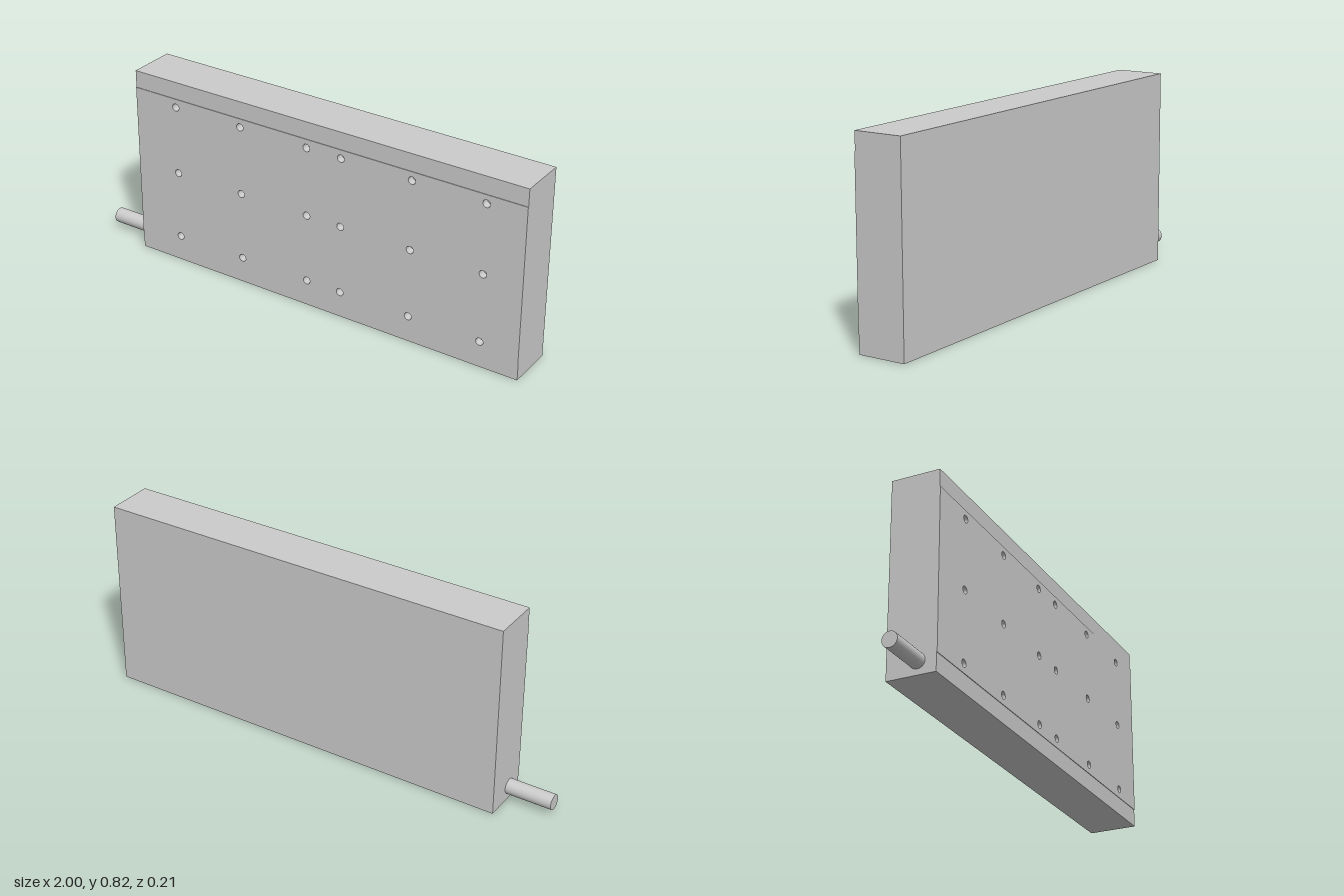
import * as THREE from 'three';

const LEFT = -0.803, RIGHT = 1, HEIGHT = 0.822;
const BACK_Z = -0.103, HOLE_Z = 0.07, FACE_Z = 0.101, PANEL_Z = 0.1035;
const HOLE_X = [-0.6, -0.28, 0.038, 0.197, 0.514, 0.832];
const HOLE_Y = [0.114, 0.412, 0.711];

export function createModel() {
  const group = new THREE.Group();
  const material = new THREE.MeshStandardMaterial({ color: 0xcccccc });

  const add = (name, geometry, x, y, z) => {
    const mesh = new THREE.Mesh(geometry, material);
    mesh.name = name;
    mesh.position.set(x, y, z);
    group.add(mesh);
    return mesh;
  };

  // Slab between two heights and two depths, pierced by the grid of holes
  const piercedSlab = (name, y0, y1, z0, z1) => {
    const shape = new THREE.Shape([
      new THREE.Vector2(LEFT, y0), new THREE.Vector2(RIGHT, y0),
      new THREE.Vector2(RIGHT, y1), new THREE.Vector2(LEFT, y1),
    ]);
    for (const x of HOLE_X) {
      for (const y of HOLE_Y) {
        shape.holes.push(new THREE.Path().absarc(x, y, 0.016, 0, Math.PI * 2, true));
      }
    }
    const geometry = new THREE.ExtrudeGeometry(shape, {
      depth: z1 - z0, bevelEnabled: false, curveSegments: 12,
    });
    add(name, geometry, 0, 0, z0);
  };

  // Main block, whose front closes the bottoms of the holes
  add('body', new THREE.BoxGeometry(RIGHT - LEFT, HEIGHT, HOLE_Z - BACK_Z),
    (LEFT + RIGHT) / 2, HEIGHT / 2, (BACK_Z + HOLE_Z) / 2);

  // Front layer and the slightly raised panel on it
  piercedSlab('frontLayer', 0, HEIGHT, HOLE_Z, FACE_Z);
  piercedSlab('raisedPanel', 0.075, 0.748, FACE_Z, PANEL_Z);

  // Round stub leaving the lower corner of the side
  const stub = add('sideStub', new THREE.CylinderGeometry(0.032, 0.032, 1 + LEFT + 0.01, 32),
    (-1 + LEFT + 0.01) / 2, 0.056, 0.024);
  stub.rotation.z = Math.PI / 2;

  return group;
}
